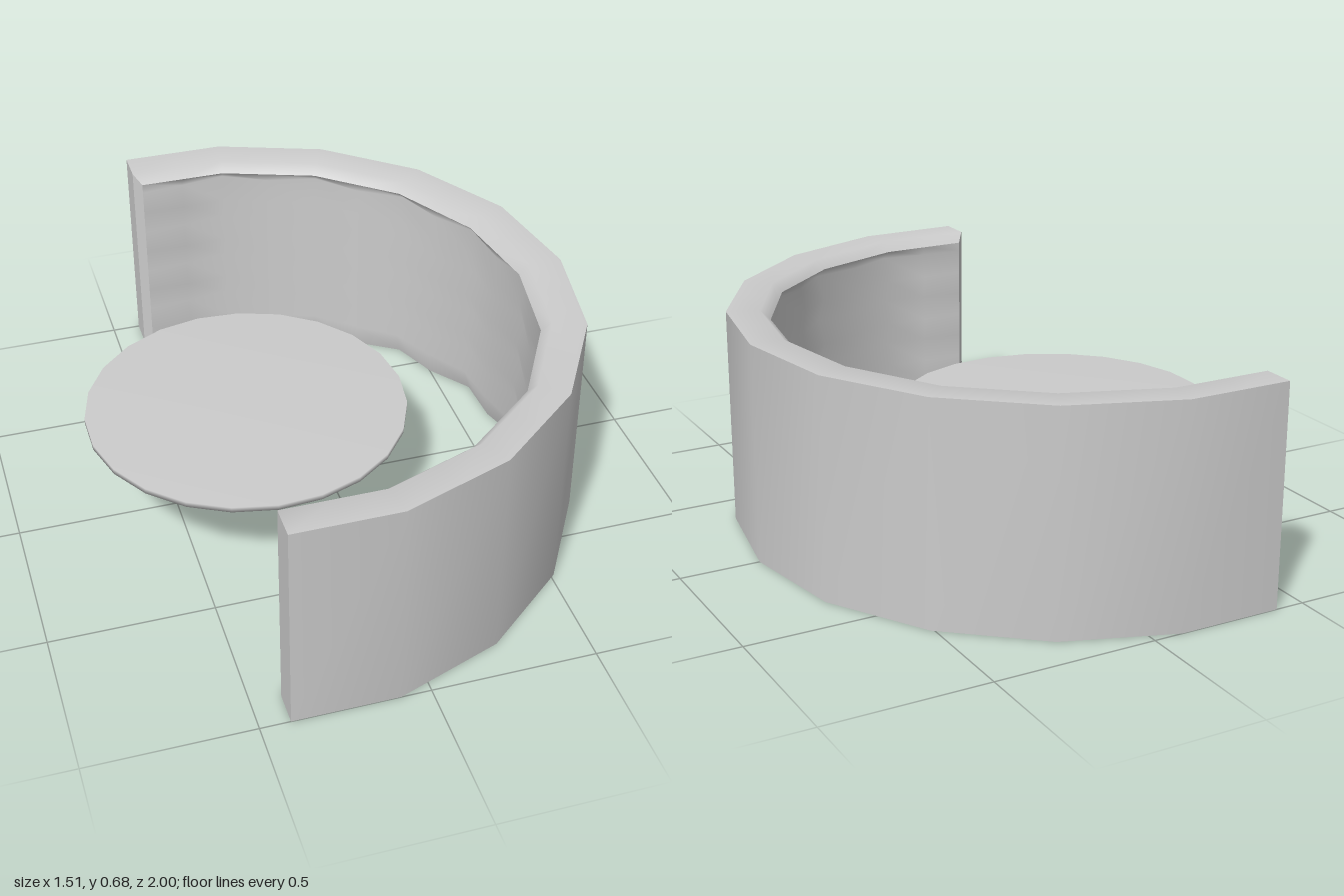
import * as THREE from 'three';

const HEIGHT = 0.68, ROLL = 0.65, TUFT_TOP = 0.62, ROWS = 4;
const material = new THREE.MeshStandardMaterial({ color: 0xcccccc, side: THREE.DoubleSide });

// Half plans as [x, z]; mirrored across z = 0
const mirrorPlan = half => [...half, ...half.slice(0, -1).reverse().map(([x, z]) => [x, -z])];
const outer = mirrorPlan([[-0.41, -1], [-0.09, -1], [0.24, -0.88], [0.51, -0.655], [0.69, -0.35], [0.75, 0]]);
const inner = mirrorPlan([[-0.385, -0.87], [-0.11, -0.87], [0.18, -0.765], [0.415, -0.57], [0.565, -0.3], [0.615, 0]]);
const mix = (a, b, t) => a.map((v, i) => v + (b[i] - v) * t);
const lip = outer.map((p, i) => mix(p, inner[i], 0.77));
lip[0][0] = lip[lip.length - 1][0] = -0.41;

// Insert a midpoint in every segment
const subdivide = plan => plan.flatMap((p, i) => (i ? [mix(plan[i - 1], p, 0.5), p] : [p]));
const at = (plan, y) => plan.map(([x, z]) => [x, y, z]);

// Smooth surface through a grid of points (rows of equal length)
function gridMesh(name, rows) {
  const n = rows[0].length, index = [];
  for (let r = 0; r < rows.length - 1; r++) {
    for (let c = 0; c < n - 1; c++) {
      const a = r * n + c, b = a + n;
      index.push(a, a + 1, b, a + 1, b + 1, b);
    }
  }
  const geometry = new THREE.BufferGeometry();
  geometry.setAttribute('position', new THREE.Float32BufferAttribute(rows.flat(2), 3));
  geometry.setIndex(index);
  geometry.computeVertexNormals();
  const mesh = new THREE.Mesh(geometry, material);
  mesh.name = name;
  return mesh;
}

function latheMesh(name, profile, sides) {
  const points = profile.map(p => new THREE.Vector2(...p));
  const mesh = new THREE.Mesh(new THREE.LatheGeometry(points, sides, Math.PI / 2), material);
  mesh.name = name;
  return mesh;
}

function createBooth() {
  const booth = new THREE.Group();
  booth.name = 'boothWall';
  const out = subdivide(outer), rim = subdivide(lip), inn = subdivide(inner);

  // Outer shell, open underneath
  booth.add(gridMesh('outerShell', [at(outer, 0), at(outer, HEIGHT)]));

  // Tufted padding: pulled in where row and column seams cross
  const padding = [];
  for (let r = 0; r <= ROWS * 2; r++) {
    const plan = inn.map((p, c) => {
      const end = c === 0 || c === inn.length - 1;
      const onRow = r % 2 === 0, onColumn = c % 2 === 0;
      const depth = end ? 0 : onRow && onColumn ? 0.25 : onRow ? 0.1 : onColumn ? 0.06 : 0;
      return mix(p, out[c], depth);
    });
    padding.push(at(plan, (TUFT_TOP * r) / (ROWS * 2)));
  }
  padding.push(at(inn, ROLL));
  booth.add(gridMesh('tuftedPadding', padding));

  // Top rim with a rolled inner edge
  booth.add(gridMesh('topRim', [at(out, HEIGHT), at(rim, HEIGHT), at(inn, ROLL)]));

  // End faces with a bevelled inner corner
  for (const i of [0, outer.length - 1]) {
    const corners = [outer[i], lip[i], inner[i]];
    const tops = [HEIGHT, HEIGHT, ROLL];
    for (const k of [0, 1]) {
      const pair = corners.slice(k, k + 2);
      booth.add(gridMesh(k ? 'endBevel' : 'endFace', [
        at(pair, 0),
        pair.map(([x, z], j) => [x, tops[k + j], z]),
      ]));
    }
  }
  return booth;
}

function createTable() {
  const table = new THREE.Group();
  table.name = 'table';
  table.position.x = -0.265;
  table.add(latheMesh('tableTop', [[0, 0.325], [0.496, 0.325], [0.496, 0.342], [0, 0.342]], 23));
  table.add(latheMesh('pedestal', [[0, 0], [0.11, 0], [0.11, 0.012], [0.06, 0.045], [0.032, 0.075], [0.03, 0.325]], 10));
  return table;
}

export function createModel() {
  const model = new THREE.Group();
  model.name = 'curvedBoothWithTable';
  model.add(createBooth(), createTable());
  return model;
}
